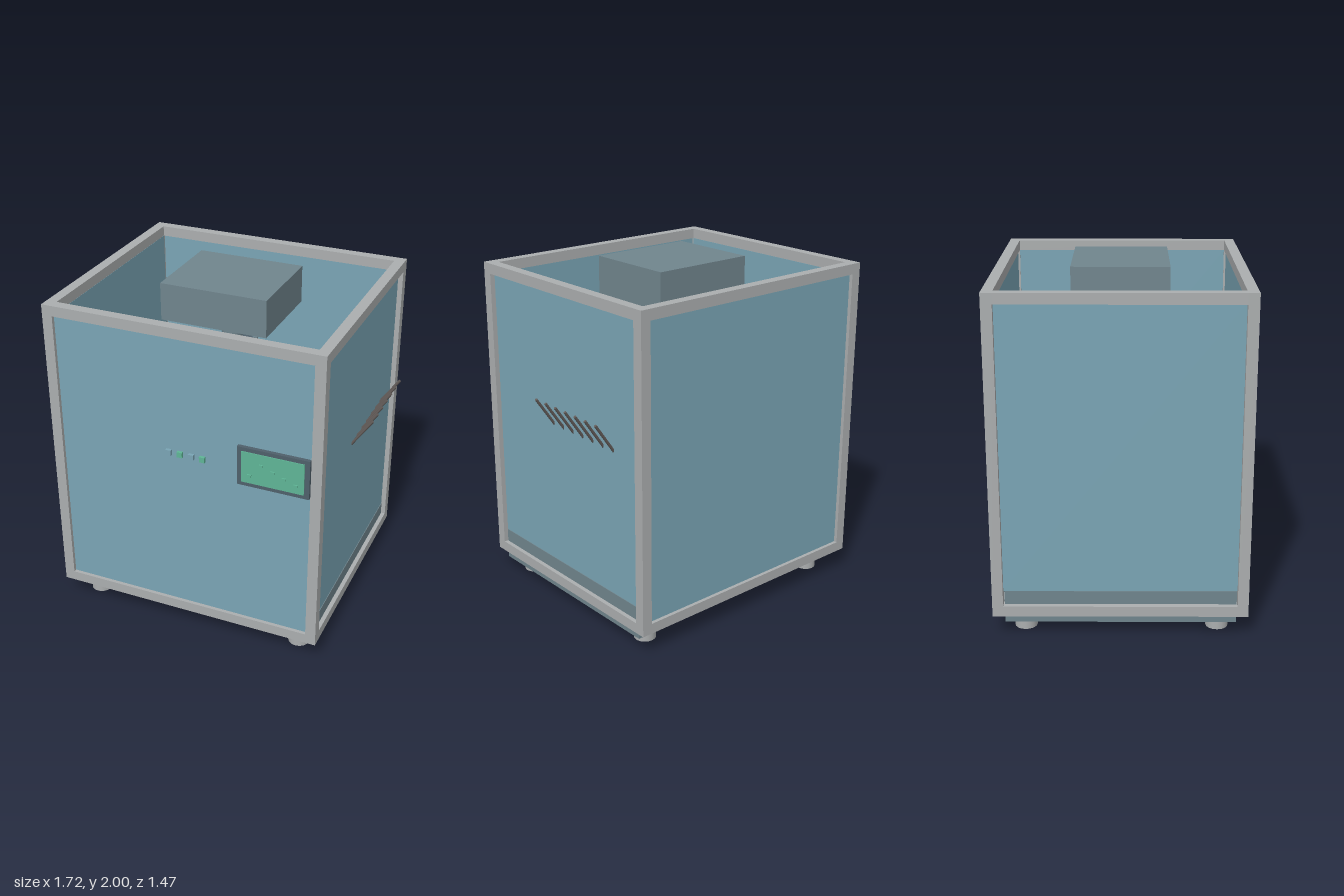
import * as THREE from 'three';

const mat = (name, color) => {
  const m = new THREE.MeshStandardMaterial({ color });
  m.name = name;
  return m;
};

export function createModel() {
  const grey = mat('frame grey', 0xabaeaf);
  const blue = mat('panel blue', 0x7aa5b5);
  const slate = mat('slate', 0x70858d);
  const dark = mat('dark slate', 0x4f606b);
  const green = mat('indicator green', 0x5fb596);
  const brown = mat('lever brown', 0x625b58);

  const model = new THREE.Group();
  const add = (name, geo, material, x = 0, y = 0, z = 0) => {
    const mesh = new THREE.Mesh(geo, material);
    mesh.name = name;
    mesh.position.set(x, y, z);
    model.add(mesh);
    return mesh;
  };
  // Box given by its limits on each axis
  const box = (name, material, x0, x1, y0, y1, z0, z1) =>
    add(name, new THREE.BoxGeometry(x1 - x0, y1 - y0, z1 - z0), material,
      (x0 + x1) / 2, (y0 + y1) / 2, (z0 + z1) / 2);
  const cyl = (name, material, r, y0, y1, x, z, sides = 48) =>
    add(name, new THREE.CylinderGeometry(r, r, y1 - y0, sides), material, x, (y0 + y1) / 2, z);

  // Frame limits and bar thickness
  const X0 = -0.866, X1 = 0.767, Y0 = 0.13, Y1 = 1.963, Z0 = -0.733, Z1 = 0.691, T = 0.061;

  // Frame: four posts, then the rails between them
  for (const x of [X0, X1 - T])
    for (const z of [Z0, Z1 - T]) box('framePost', grey, x, x + T, Y0, Y1, z, z + T);
  for (const y of [Y0, Y1 - T]) {
    for (const z of [Z0, Z1 - T]) box('frameRailAcross', grey, X0 + T, X1 - T, y, y + T, z, z + T);
    for (const x of [X0, X1 - T]) box('frameRailSide', grey, x, x + T, y, y + T, Z0 + T, Z1 - T);
  }

  // Wall panels, the side ones stopping above the base
  box('frontPanel', blue, X0 + T, X1 - T, Y0 + T, Y1 - T, 0.642, 0.67);
  box('backPanel', blue, X0 + T, X1 - T, Y0 + T, Y1 - T, -0.712, -0.684);
  box('rightPanel', blue, 0.712, 0.738, 0.27, Y1 - T, Z0 + T, Z1 - T);
  box('leftPanel', blue, -0.83, -0.804, 0.27, Y1 - T, Z0 + T, Z1 - T);

  // Base and feet
  box('base', slate, -0.834, 0.742, 0.08, 0.27, -0.666, 0.627);
  for (const x of [-0.71, 0.613])
    for (const z of [-0.56, 0.527]) cyl('foot', grey, 0.064, 0, 0.08, x, z, 16);

  // Inner deck with a row of small pegs at its front edge
  box('innerDeck', dark, -0.764, 0.671, 0.27, 0.34, -0.614, 0.564);
  for (let i = 0; i < 11; i++)
    add('deckPeg', new THREE.CylinderGeometry(0.02, 0.02, 0.04, 12, 1, false, -Math.PI / 2, Math.PI),
      i % 3 === 0 ? grey : green, -0.71 + i * 0.1343, 0.36, 0.543);

  // Round chamber with its rim, tray and ring of vials
  const cx = -0.05, cz = -0.022;
  cyl('chamber', dark, 0.412, 0.34, 0.76, cx, cz, 64);
  cyl('chamberRim', grey, 0.357, 0.76, 0.8, cx, cz, 64);
  cyl('tray', blue, 0.335, 0.8, 0.81, cx, cz, 64);
  for (let i = 0; i < 14; i++) {
    const a = (i / 14) * Math.PI * 2;
    cyl('vial', green, 0.018, 0.78, 0.86, cx + 0.33 * Math.cos(a), cz + 0.33 * Math.sin(a), 16);
  }

  // Ribbed hub and shaft under the top block
  cyl('hub', dark, 0.155, 0.81, 1.57, cx, cz, 32);
  for (let i = 0; i < 14; i++) {
    const a = (i / 14) * Math.PI * 2;
    cyl('hubRib', slate, 0.014, 0.81, 1.58, cx + 0.155 * Math.cos(a), cz + 0.155 * Math.sin(a), 8);
  }
  cyl('shaft', slate, 0.06, 1.57, 1.79, cx, cz, 24);
  box('topBlock', slate, -0.367, 0.269, 1.78, 2, -0.297, 0.252);

  // Front display with its small marks
  box('displayBezel', dark, 0.284, 0.7, 1.105, 1.342, 0.67, 0.692);
  box('displayScreen', green, 0.311, 0.671, 1.129, 1.319, 0.692, 0.697);
  for (const [x, y] of [[0.358, 1.178], [0.426, 1.254], [0.492, 1.228], [0.558, 1.203], [0.625, 1.178]])
    box('displayMark', green, x - 0.012, x + 0.012, y - 0.007, y + 0.007, 0.697, 0.704);

  // Four front buttons
  for (let i = 0; i < 4; i++) {
    const x = -0.107 + i * 0.067;
    box('button', i % 2 ? green : blue, x - 0.016, x + 0.016, 1.215, 1.247, 0.716, 0.734);
  }

  // Slanted levers through the right panel
  const from = new THREE.Vector3(0.682, 1.055, 0), to = new THREE.Vector3(0.852, 1.303, 0);
  const dir = to.clone().sub(from);
  for (let i = 0; i < 7; i++) {
    const lever = add('lever', new THREE.CylinderGeometry(0.008, 0.008, dir.length(), 12), brown,
      (from.x + to.x) / 2, (from.y + to.y) / 2, 0.085 - i * 0.09);
    lever.rotation.z = -Math.atan2(dir.x, dir.y);
  }

  return model;
}
